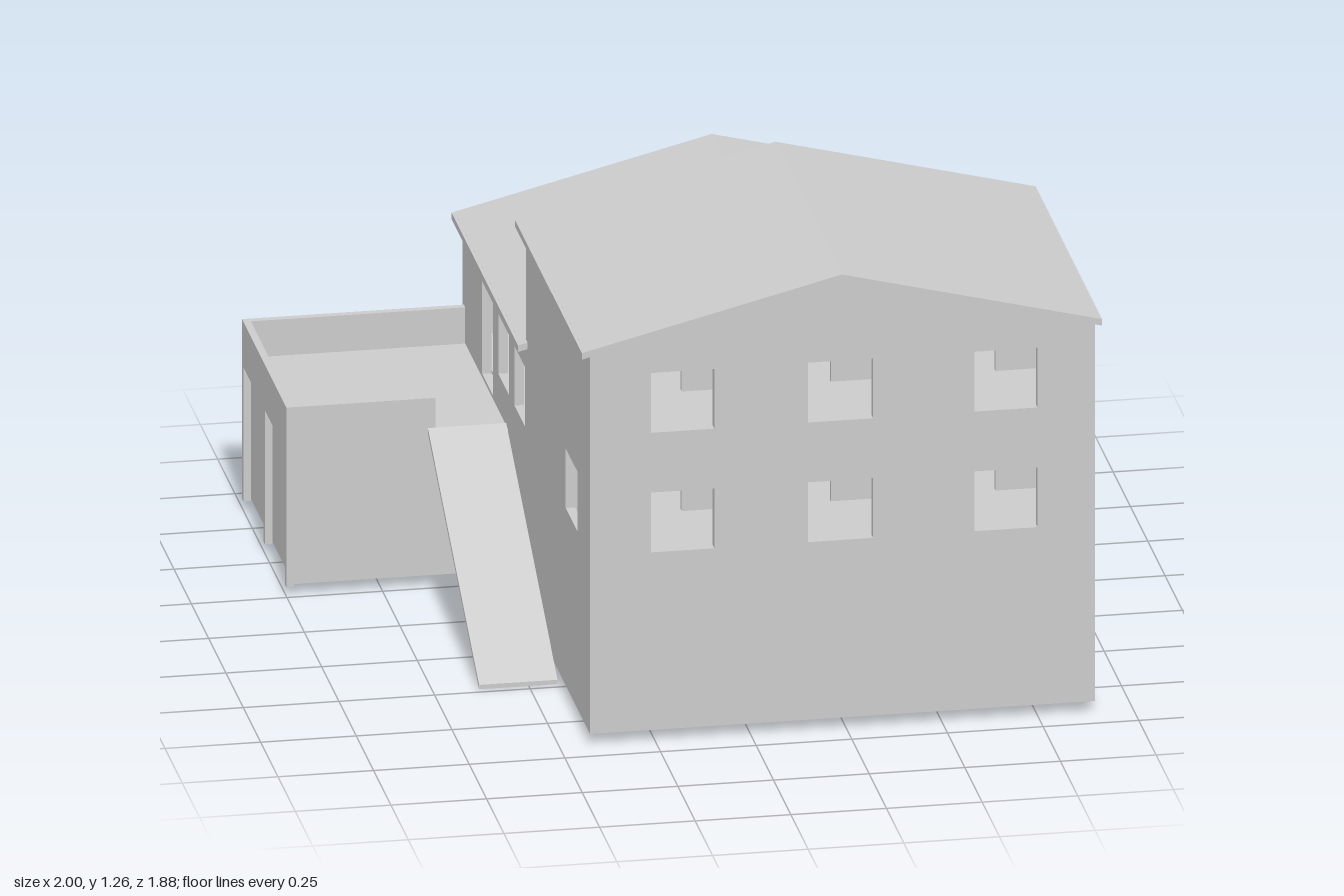
import * as THREE from 'three';

export function createModel() {
  const model = new THREE.Group();
  const mat = new THREE.MeshStandardMaterial({ color: 0xcccccc, flatShading: true, side: THREE.DoubleSide });
  const BASE = 0.03, T = 0.025, LEFT = -0.42, RIGHT = 0.9, RIDGE = 0.235;

  function add(name, geometry) {
    const mesh = new THREE.Mesh(geometry, mat);
    mesh.name = name;
    model.add(mesh);
    return mesh;
  }

  // box given by its lower and upper limits
  function box(name, x0, x1, y0, y1, z0, z1) {
    add(name, new THREE.BoxGeometry(x1 - x0, y1 - y0, z1 - z0))
      .position.set((x0 + x1) / 2, (y0 + y1) / 2, (z0 + z1) / 2);
  }

  function polygon(points) {
    return new THREE.Shape(points.map(([a, b]) => new THREE.Vector2(a, b)));
  }

  // upright wall from a to b (x, z), outside on the right-hand side;
  // holes are [u0, u1, y0, y1] with u measured from a
  function wall(name, a, b, y0, y1, holes = [], peak = null, t = T) {
    const u = new THREE.Vector3(b[0] - a[0], 0, b[1] - a[1]);
    const length = u.length();
    u.normalize();
    const v = new THREE.Vector3(0, 1, 0);
    const n = new THREE.Vector3().crossVectors(u, v);
    const outline = [[0, y0], [length, y0], [length, y1]];
    if (peak) outline.push(peak);
    outline.push([0, y1]);
    const shape = polygon(outline);
    for (const [u0, u1, v0, v1] of holes) {
      shape.holes.push(polygon([[u0, v0], [u0, v1], [u1, v1], [u1, v0]]));
    }
    const geo = new THREE.ExtrudeGeometry(shape, { depth: t, bevelEnabled: false });
    geo.translate(0, 0, -t);
    geo.applyMatrix4(new THREE.Matrix4().makeBasis(u, v, n).setPosition(a[0], 0, a[1]));
    add(name, geo);
  }

  const LOW = [0.52, 0.685], HIGH = [0.85, 1.015];
  const both = (u0, u1) => [[u0, u1, ...LOW], [u0, u1, ...HIGH]];

  // tall front block
  wall('frontWall', [LEFT, 0.92], [RIGHT, 0.92], BASE, 1.075,
    [...both(0.16, 0.325), ...both(0.57, 0.74), ...both(1.005, 1.17)], [RIDGE - LEFT, 1.24]);
  wall('frontBlockRightWall', [RIGHT, 0.92], [RIGHT, 0], BASE, 1.075, [...both(0.05, 0.21), ...both(0.52, 0.68)]);
  wall('frontBlockLeftWall', [LEFT, 0], [LEFT, 0.92], BASE, 1.075, [[0.57, 0.74, ...LOW]]);
  wall('middleWall', [RIGHT, 0], [LEFT, 0], 0.12, 1.075,
    [[0.9, 1.2, 0.14, 0.35], [0.06, 0.2, 0.44, 0.645]], [RIGHT - RIDGE, 1.24]);

  // low rear block with a faceted bay on its right side
  const bay = [[RIGHT, 0], [RIGHT, -0.2], [0.98, -0.44], [0.98, -0.66], [RIGHT, -0.91]];
  const bayHoles = [
    [0.005, 0.185, 0.435, 0.725],
    [0.05, 0.21, ...LOW],
    [0.035, 0.19, ...LOW],
    [0.045, 0.21, ...LOW]
  ];
  bayHoles.forEach((hole, i) => wall('bayWall', bay[i], bay[i + 1], BASE, 0.745, [hole]));
  wall('rearWall', [RIGHT, -0.92], [LEFT, -0.92], BASE, 0.745, [], [RIGHT - RIDGE, 0.91]);
  wall('rearBlockLeftWall', [LEFT, -0.92], [LEFT, 0], BASE, 0.745,
    [[0.285, 0.44, 0.43, 0.685], [0.52, 0.67, ...LOW], [0.75, 0.9, ...LOW]]);

  // gabled roofs
  function roof(name, eave, z0, z1) {
    const x0 = -0.445, x1 = 0.915, top = eave + 0.17, t = 0.018;
    const geo = new THREE.ExtrudeGeometry(polygon([
      [x0, eave - t], [RIDGE, top - t], [x1, eave - t], [x1, eave], [RIDGE, top], [x0, eave]
    ]), { depth: z1 - z0, bevelEnabled: false });
    geo.translate(0, 0, z0);
    add(name, geo);
  }
  roof('frontRoof', 1.09, -0.02, 0.94);
  roof('rearRoof', 0.76, -0.94, 0.02);

  // flat eave over the bay
  const eave = new THREE.ExtrudeGeometry(
    polygon([[0.85, 0.21], [0.914, 0.21], [1, 0.45], [1, 0.66], [0.914, 0.9], [0.85, 0.9]]),
    { depth: 0.016, bevelEnabled: false });
  eave.rotateX(-Math.PI / 2);
  eave.translate(0, 0.743, 0);
  add('bayEave', eave);

  // floors, with the stairwell left open between the blocks
  const inL = LEFT + T, inR = RIGHT - T;
  for (const y of [0.12, 0.425, 0.755]) box('frontFloor', inL, inR, y, y + 0.018, 0, 0.895);
  const rearFloor = new THREE.ExtrudeGeometry(
    polygon([[inL, 0.26], [0.9, 0.26], [0.955, 0.44], [0.955, 0.66], [inR, 0.9], [inL, 0.9]]),
    { depth: 0.018, bevelEnabled: false });
  rearFloor.rotateX(-Math.PI / 2);
  rearFloor.translate(0, 0.42, 0);
  add('rearFloor', rearFloor);
  box('stairLanding', 0.65, inR, 0.42, 0.438, -0.27, 0);

  // partitions with doorways
  wall('rearPartition', [0.2, -0.9], [0.2, 0], 0.425, 0.84,
    [[0.27, 0.42, 0.44, 0.645], [0.73, 0.88, 0.44, 0.645]], null, 0.015);
  for (const y of [0.425, 0.755]) {
    wall('frontPartition', [inL, 0.45], [inR, 0.45], y, y + 0.32,
      [[0.1, 0.3, y + 0.018, y + 0.22], [0.48, 0.69, y + 0.018, y + 0.22], [0.99, 1.12, y + 0.018, y + 0.22]], null, 0.015);
  }

  // sloping slab whose side profile is extruded across its width
  function slope(name, points, depth) {
    return add(name, new THREE.ExtrudeGeometry(polygon(points), { depth, bevelEnabled: false }));
  }
  slope('innerStair', [[0.1, 0.12], [0.65, 0.42], [0.65, 0.438], [0.1, 0.138]], 0.13).position.z = -0.14;
  const ramp = slope('outerRamp', [[-0.48, 0], [0.26, 0.425], [0.26, 0.438], [-0.48, 0.012]], 0.205);
  ramp.rotation.y = Math.PI / 2;
  ramp.position.x = -0.63;

  // garage with a terrace on top
  const gx0 = -1, gx1 = LEFT, gz0 = -0.9, gz1 = -0.26;
  box('terraceFloor', gx0, gx1, 0.395, 0.42, gz0, gz1);
  box('terraceParapetLeft', gx0, gx0 + 0.02, 0.395, 0.52, gz0, gz1);
  box('terraceParapetRear', gx0, gx1, 0.395, 0.52, gz0, gz0 + 0.02);
  box('terraceParapetFront', gx0, -0.61, 0.395, 0.52, gz1 - 0.02, gz1);
  box('garageLeftWall', gx0 + 0.02, gx0 + 0.03, BASE, 0.4, gz0 + 0.02, gz1 - 0.005);
  box('garageRearWall', gx0 + 0.02, gx1, BASE, 0.4, gz0 + 0.02, gz0 + 0.03);
  box('garageFrontWall', gx0 + 0.02, gx1, BASE, 0.4, gz1 - 0.015, gz1 - 0.005);
  const posts = [[gx0, gz0], [gx0, -0.59], [gx0, gz1 - 0.02], [-0.64, gz0], [gx1 - 0.02, gz0]];
  for (const [x, z] of posts) box('garagePost', x, x + 0.02, BASE - 0.005, 0.4, z, z + 0.02);

  return model;
}
